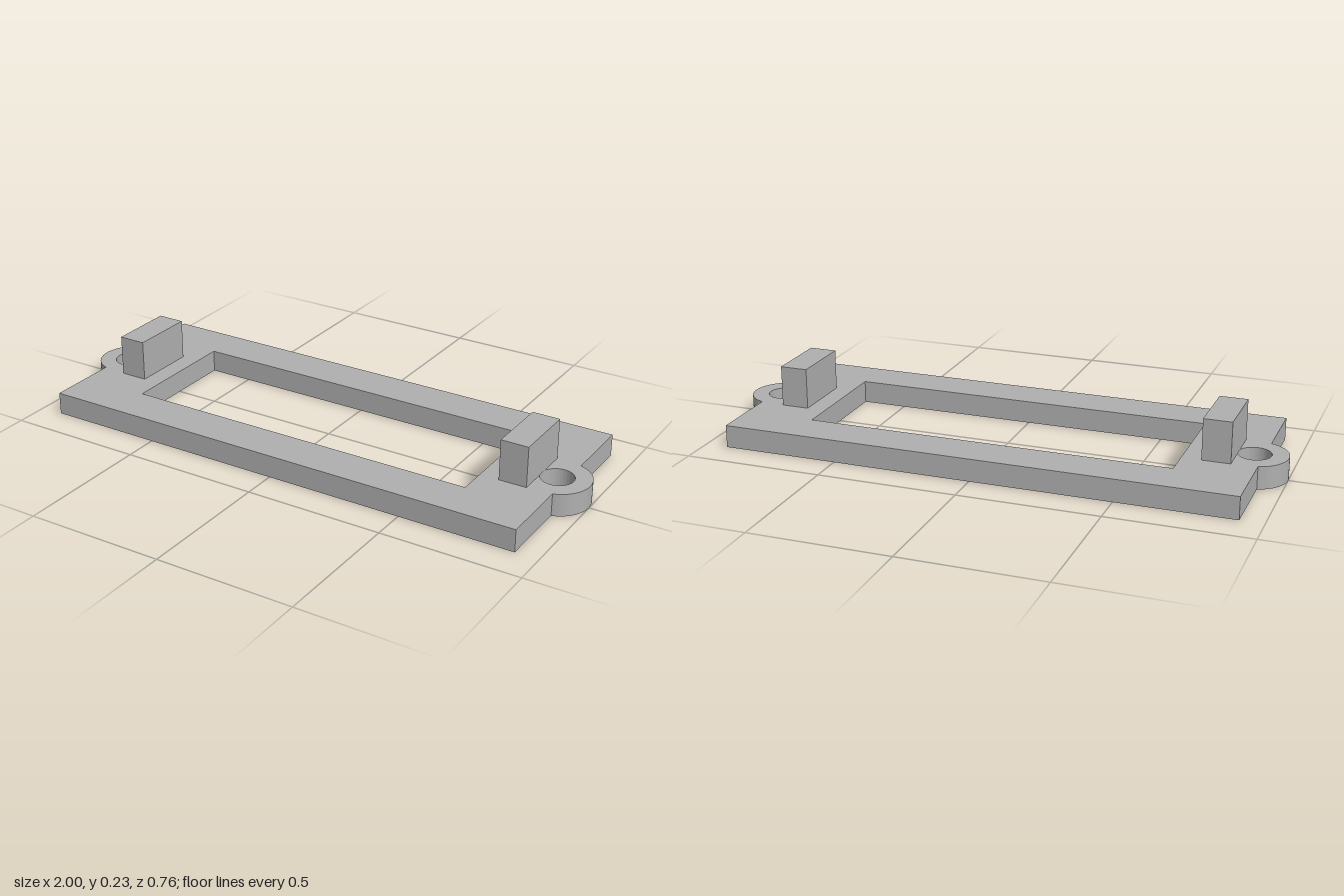
import * as THREE from 'three';
import { toCreasedNormals } from 'three/addons/utils/BufferGeometryUtils.js';

export function createModel() {
  const model = new THREE.Group();
  model.name = 'mountingBezel';
  const grey = new THREE.MeshStandardMaterial({ color: 0xb0b0b0 });
  grey.name = 'grey';

  const thickness = 0.081;
  const halfX = 0.917, halfZ = 0.378;
  const earX = 0.883, earRadius = 0.117, holeRadius = 0.058;
  const earAngle = Math.acos((halfX - earX) / earRadius);

  // Frame outline with a rounded screw ear on each end
  const outline = new THREE.Shape();
  outline.moveTo(-halfX, -halfZ);
  outline.lineTo(halfX, -halfZ);
  outline.absarc(earX, 0, earRadius, -earAngle, earAngle, false);
  outline.lineTo(halfX, halfZ);
  outline.lineTo(-halfX, halfZ);
  outline.absarc(-earX, 0, earRadius, Math.PI - earAngle, Math.PI + earAngle, false);
  outline.closePath();

  // Rectangular window
  const windowX = 0.659, windowZ = 0.222;
  outline.holes.push(new THREE.Path([
    [-windowX, -windowZ], [-windowX, windowZ], [windowX, windowZ], [windowX, -windowZ],
  ].map(([x, y]) => new THREE.Vector2(x, y))));

  // Screw holes
  for (const side of [-1, 1]) {
    const hole = new THREE.Path();
    hole.absarc(side * earX, 0, holeRadius, 0, Math.PI * 2, true);
    outline.holes.push(hole);
  }

  const plate = new THREE.ExtrudeGeometry(outline, { depth: thickness, bevelEnabled: false, curveSegments: 32 });
  plate.rotateX(-Math.PI / 2);
  const frame = new THREE.Mesh(toCreasedNormals(plate, 0.5), grey);
  frame.name = 'frame';
  model.add(frame);

  // Upright blocks between the window and the screw holes
  const postHeight = 0.228 - thickness;
  for (const side of [-1, 1]) {
    const post = new THREE.Mesh(new THREE.BoxGeometry(0.1, postHeight, 0.238), grey);
    post.name = side > 0 ? 'leftPost' : 'rightPost';
    post.position.set(side * 0.778, thickness + postHeight / 2, 0);
    model.add(post);
  }
  return model;
}
